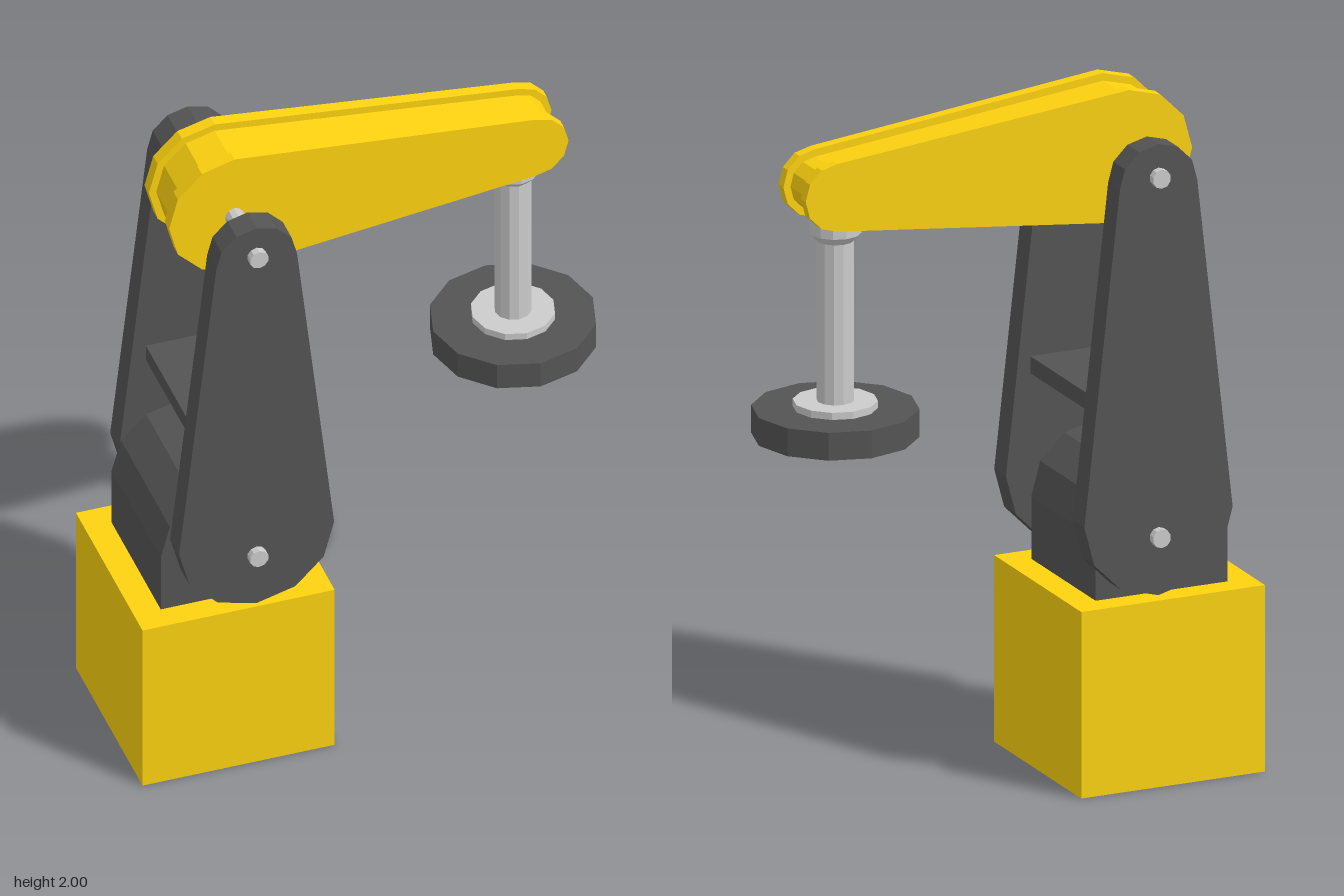
import * as THREE from 'three';

const paint = (color) => new THREE.MeshStandardMaterial({ color, flatShading: true });

// Outline around two faceted round ends; "from" is the start angle of the first end
function linkShape(c1, r1, c2, r2, from) {
  const pts = [];
  const arc = (c, r, start) => {
    for (let i = 0; i <= 6; i++) {
      const a = start + (i * Math.PI) / 6;
      pts.push(new THREE.Vector2(c[0] + r * Math.cos(a), c[1] + r * Math.sin(a)));
    }
  };
  arc(c1, r1, from);
  arc(c2, r2, from + Math.PI);
  return new THREE.Shape(pts);
}

// Extrusion between two depths
function slab(shape, z0, z1) {
  return new THREE.ExtrudeGeometry(shape, { depth: z1 - z0, bevelEnabled: false }).translate(0, 0, z0);
}

// Narrow the depth of the boom towards its tip
function taper(geo) {
  const p = geo.attributes.position;
  for (let i = 0; i < p.count; i++) {
    const t = (p.getX(i) + 0.58) / 1.19;
    p.setZ(i, p.getZ(i) * (1 - 0.16 * t));
  }
  geo.computeVertexNormals();
  return geo;
}

export function createModel() {
  const group = new THREE.Group();
  const yellow = paint(0xfdd20f);
  const dark = paint(0x545454);
  const grey = paint(0xcccccc);

  const add = (name, geo, mat, x = 0, y = 0, z = 0) => {
    const mesh = new THREE.Mesh(geo, mat);
    mesh.name = name;
    mesh.position.set(x, y, z);
    group.add(mesh);
    return mesh;
  };

  // Base block
  add('base', new THREE.BoxGeometry(0.57, 0.55, 0.57), yellow, -0.435, 0.275, 0);

  // Round-topped pedestal
  const hump = [new THREE.Vector2(-0.64, 0.55), new THREE.Vector2(-0.23, 0.55)];
  for (let i = 0; i <= 6; i++) {
    const a = (i * Math.PI) / 6;
    hump.push(new THREE.Vector2(-0.435 + 0.205 * Math.cos(a), 0.735 + 0.2 * Math.sin(a)));
  }
  add('pedestal', slab(new THREE.Shape(hump), -0.21, 0.21), dark);

  // Pair of upright side plates
  const upright = linkShape([-0.385, 0.8], 0.23, [-0.385, 1.78], 0.12, Math.PI);
  add('frontUpright', slab(upright, 0.218, 0.295), dark);
  add('backUpright', slab(upright, -0.295, -0.218), dark);

  // Shelf bracing the uprights
  add('crossBrace', new THREE.BoxGeometry(0.305, 0.05, 0.45), dark, -0.383, 1.12, 0);

  // Pivot pins
  for (const [name, y] of [['lowerPin', 0.743], ['upperPin', 1.803]]) {
    const pin = new THREE.CylinderGeometry(0.028, 0.028, 0.636, 10).rotateX(Math.PI / 2);
    add(name, pin, grey, -0.385, y, 0);
  }

  // Boom: two cheeks with a recessed core between them
  const boom = (inset) =>
    linkShape([-0.384, 1.808], 0.195 - inset, [0.512, 1.807], 0.1 - inset, Math.PI / 2);
  add('frontBoomCheek', taper(slab(boom(0), 0.068, 0.106)), yellow);
  add('backBoomCheek', taper(slab(boom(0), -0.106, -0.068)), yellow);
  add('boomCore', taper(slab(boom(0.022), -0.075, 0.075)), yellow);

  // Hanging rod with collar and flange
  const rod = [[0, 1.14], [0.12, 1.14], [0.12, 1.18], [0.053, 1.18], [0.053, 1.652],
    [0.074, 1.675], [0.074, 1.74], [0, 1.74]].map(([r, y]) => new THREE.Vector2(r, y));
  add('rod', new THREE.LatheGeometry(rod, 12), grey, 0.478, 0, 0);

  // Foot disc
  const disc = new THREE.CylinderGeometry(0.237, 0.237, 0.082, 12);
  add('footDisc', disc, dark, 0.478, 1.118, 0);

  return group;
}
